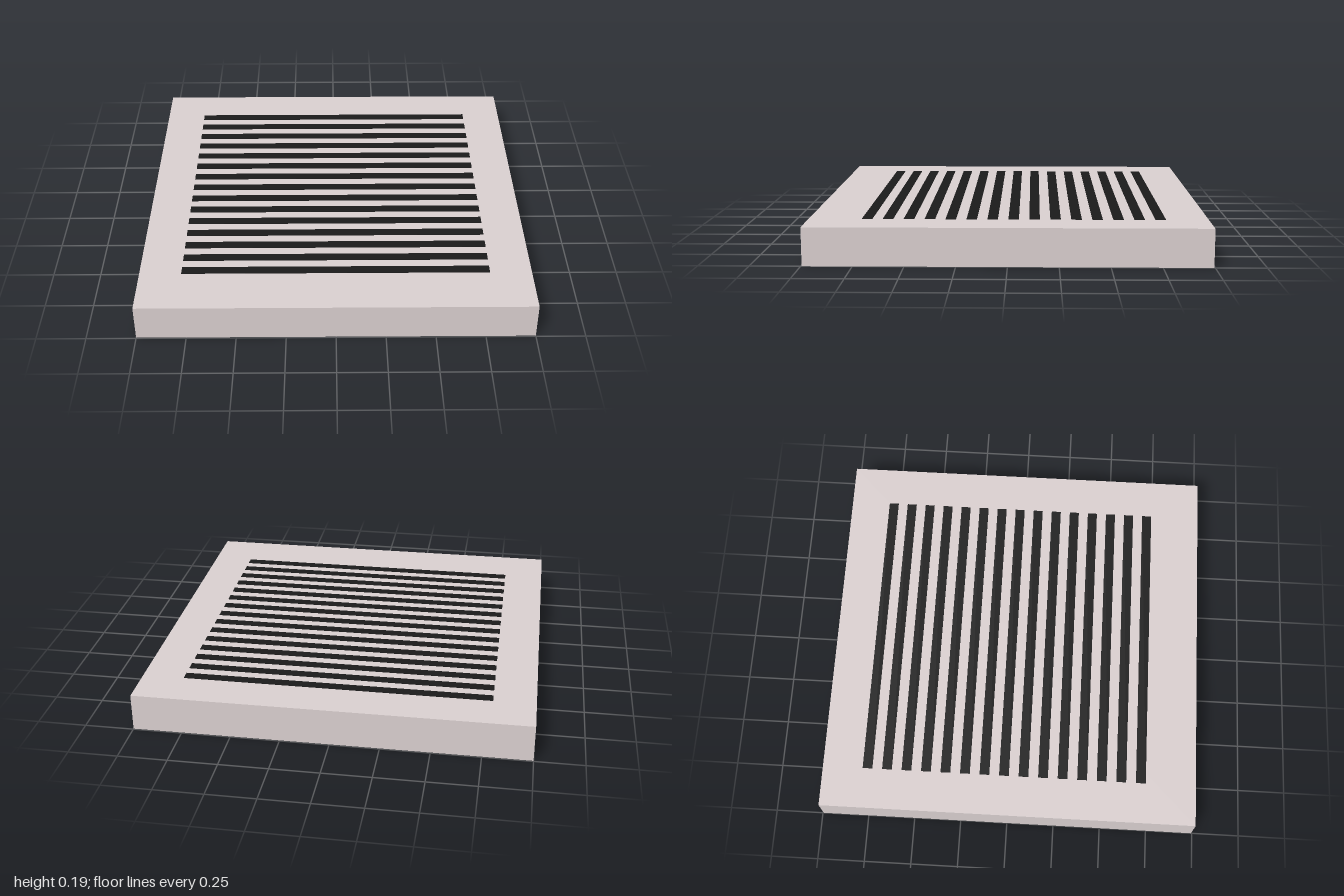
import * as THREE from 'three';

const box = (name, size, pos, material) => {
  const mesh = new THREE.Mesh(new THREE.BoxGeometry(...size), material);
  mesh.name = name;
  mesh.position.set(...pos);
  return mesh;
};

export function createModel() {
  const model = new THREE.Group();
  model.name = 'ventPanel';
  const panelMaterial = new THREE.MeshStandardMaterial({ color: 0xd9cfcf });
  const slotMaterial = new THREE.MeshStandardMaterial({ color: 0x1a1a1a });

  // Square panel body
  const height = 0.192;
  model.add(box('panel', [2, height, 1.99], [0, height / 2, 0], panelMaterial));

  // Row of dark vent slots, almost flush with the top face
  const slots = new THREE.Group();
  slots.name = 'ventSlots';
  const count = 15, first = -0.756, pitch = 0.1042, thickness = 0.02;
  for (let i = 0; i < count; i++) {
    const y = height + 0.002 - thickness / 2;
    slots.add(box('ventSlot', [1.572, thickness, 0.052], [0, y, first + i * pitch], slotMaterial));
  }
  model.add(slots);
  return model;
}
